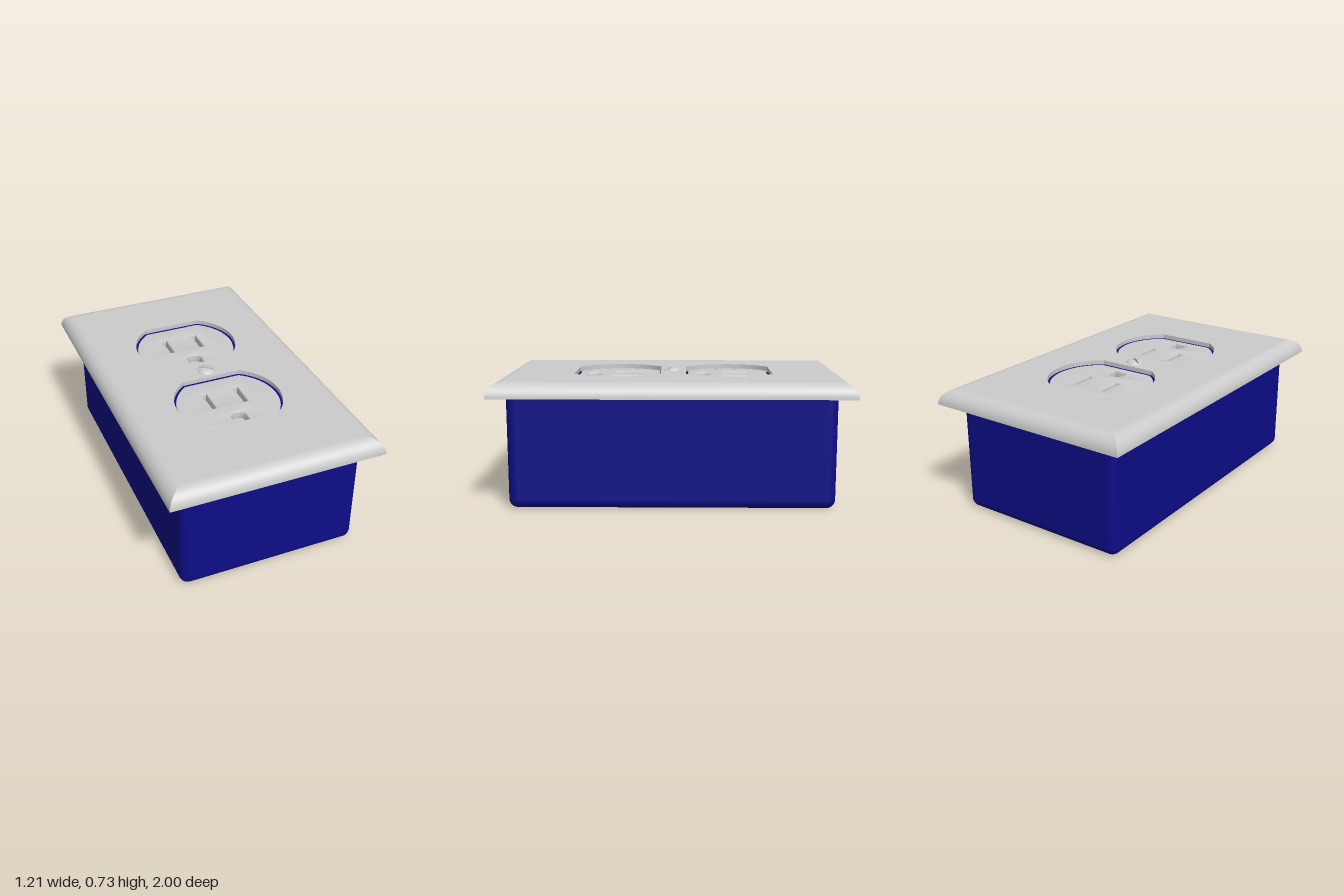
import * as THREE from 'three';
import { toCreasedNormals } from 'three/addons/utils/BufferGeometryUtils.js';
import { RoundedBoxGeometry } from 'three/addons/geometries/RoundedBoxGeometry.js';

const HALF_X = 0.605, HALF_Z = 1, RIM_Y = 0.63, TOP_Y = 0.715, EDGE = 0.085;
const FACE_Y = 0.692, BOX_TOP = 0.64, OUTLET_Z = [-0.327, 0.32];

const grey = new THREE.MeshStandardMaterial({ color: 0xcccccc });
const blue = new THREE.MeshStandardMaterial({ color: 0x0d0d88 });

function add(parent, name, geometry, material = grey) {
  const mesh = new THREE.Mesh(geometry, material);
  mesh.name = name;
  parent.add(mesh);
  return mesh;
}

// Circle with its two ends cut flat; cy is the centre in shape space (y = -z)
function cutCircle(path, radius, halfLength, cy = 0) {
  const a = Math.asin(halfLength / radius);
  path.absarc(0, cy, radius, -a, a, false);
  path.absarc(0, cy, radius, Math.PI - a, Math.PI + a, false);
  path.closePath();
  return path;
}

function rect(path, x0, y0, x1, y1) {
  path.moveTo(x0, y0).lineTo(x1, y0).lineTo(x1, y1).lineTo(x0, y1).closePath();
  return path;
}

// Extrude a plan shape upwards from y
function slab(shape, y, options) {
  const g = new THREE.ExtrudeGeometry(shape, { bevelEnabled: false, curveSegments: 28, ...options });
  return toCreasedNormals(g.rotateX(-Math.PI / 2).translate(0, y, 0), 0.6);
}

// One mitred side of the plate's rolled rim, facing +z before turning
function rimSide(halfW, halfD) {
  const n = 10, profile = [];
  for (let i = 0; i <= n; i++) {
    const t = (i / n) * Math.PI / 2;
    profile.push([EDGE * (1 - Math.sin(t)), RIM_Y + EDGE * Math.cos(t)]);
  }
  for (let i = n; i >= 0; i--) {
    const t = (i / n) * Math.PI / 2;
    profile.push([0.025 + 0.06 * (1 - Math.sin(t)), RIM_Y + 0.06 * Math.cos(t)]);
  }
  const g = new THREE.PlaneGeometry(2, 1, 1, profile.length - 1);
  const p = g.attributes.position;
  for (let i = 0; i < p.count; i++) {
    const [d, y] = profile[Math.floor(i / 2)];
    p.setXYZ(i, p.getX(i) * (halfW - d), y, halfD - d);
  }
  return toCreasedNormals(g, 0.6);
}

// Domed screw head with a straight slot
function screwHead() {
  const R = 0.052, rise = 0.02, w = 0.007, n = 12, rows = [];
  for (let i = 0; i <= n; i++) rows.push([-R * Math.cos((i / n) * Math.PI / 2) - w * (i / n), false]);
  rows[0][0] = -R;
  rows.push([-w, true]);
  const all = [...rows, ...rows.slice().reverse().map(([v, f]) => [-v, f])];
  const cols = 20;
  const g = new THREE.PlaneGeometry(2, 1, cols, all.length - 1);
  const p = g.attributes.position;
  for (let i = 0; i < p.count; i++) {
    const [v, inSlot] = all[Math.floor(i / (cols + 1))];
    const x = p.getX(i) * Math.sqrt(Math.max(0, R * R - v * v));
    const dome = rise * Math.sqrt(Math.max(0, 1 - (x * x + v * v) / (R * R)));
    p.setXYZ(i, x, TOP_Y - 0.002 + (inSlot ? Math.min(dome, 0.006) : dome), v);
  }
  return toCreasedNormals(g.rotateY(-0.6), 0.6);
}

// Outlet face with two blade slots and a round-topped ground hole
function outlet() {
  const group = new THREE.Group();
  group.name = 'outlet';
  const b = 0.007;
  const shape = cutCircle(new THREE.Shape(), 0.291, 0.238);
  for (const x of [-0.098, 0.094]) {
    shape.holes.push(rect(new THREE.Path(), x - 0.022 + b, -0.035 + b, x + 0.022 - b, 0.13 - b));
  }
  const r = 0.05 - b;
  const ground = new THREE.Path();
  ground.moveTo(-r, -0.198 + b).lineTo(r, -0.198 + b).lineTo(r, -0.147);
  ground.absarc(0, -0.147, r, 0, Math.PI, false);
  ground.closePath();
  shape.holes.push(ground);

  const base = BOX_TOP - 0.005;
  add(group, 'outletFace', slab(shape, base + b, {
    depth: FACE_Y - base - 2 * b, bevelEnabled: true, bevelSize: b,
    bevelThickness: b, bevelOffset: -b, bevelSegments: 3,
  }));
  add(group, 'slotFloor', new THREE.BoxGeometry(0.3, 0.01, 0.38).translate(0, BOX_TOP + 0.002, 0.03));
  return group;
}

export function createModel() {
  const model = new THREE.Group();
  model.name = 'wallOutlet';

  // Wall box, closed off level just under the cover plate
  const box = new RoundedBoxGeometry(1.03, 0.8, 1.82, 6, 0.05).translate(0, 0.4, 0);
  const p = box.attributes.position;
  for (let i = 0; i < p.count; i++) p.setY(i, Math.min(p.getY(i), BOX_TOP));
  add(model, 'wallBox', box, blue);

  // Cover plate: flat panel with two openings, and a hollow rolled rim
  const plate = new THREE.Group();
  plate.name = 'coverPlate';
  const ix = HALF_X - EDGE, iz = HALF_Z - EDGE;
  const panel = rect(new THREE.Shape(), -ix, -iz, ix, iz);
  for (const z of OUTLET_Z) panel.holes.push(cutCircle(new THREE.Path(), 0.302, 0.249, -z));
  add(plate, 'platePanel', slab(panel, RIM_Y + 0.06, { depth: TOP_Y - RIM_Y - 0.06 }));
  for (let i = 0; i < 4; i++) {
    const side = i % 2 ? rimSide(HALF_Z, HALF_X) : rimSide(HALF_X, HALF_Z);
    add(plate, 'plateRim', side).rotation.y = i * Math.PI / 2;
  }
  model.add(plate);

  // Two outlets and the centre screw
  for (const z of OUTLET_Z) {
    const o = outlet();
    o.position.z = z;
    model.add(o);
  }
  add(model, 'screw', screwHead());
  return model;
}
